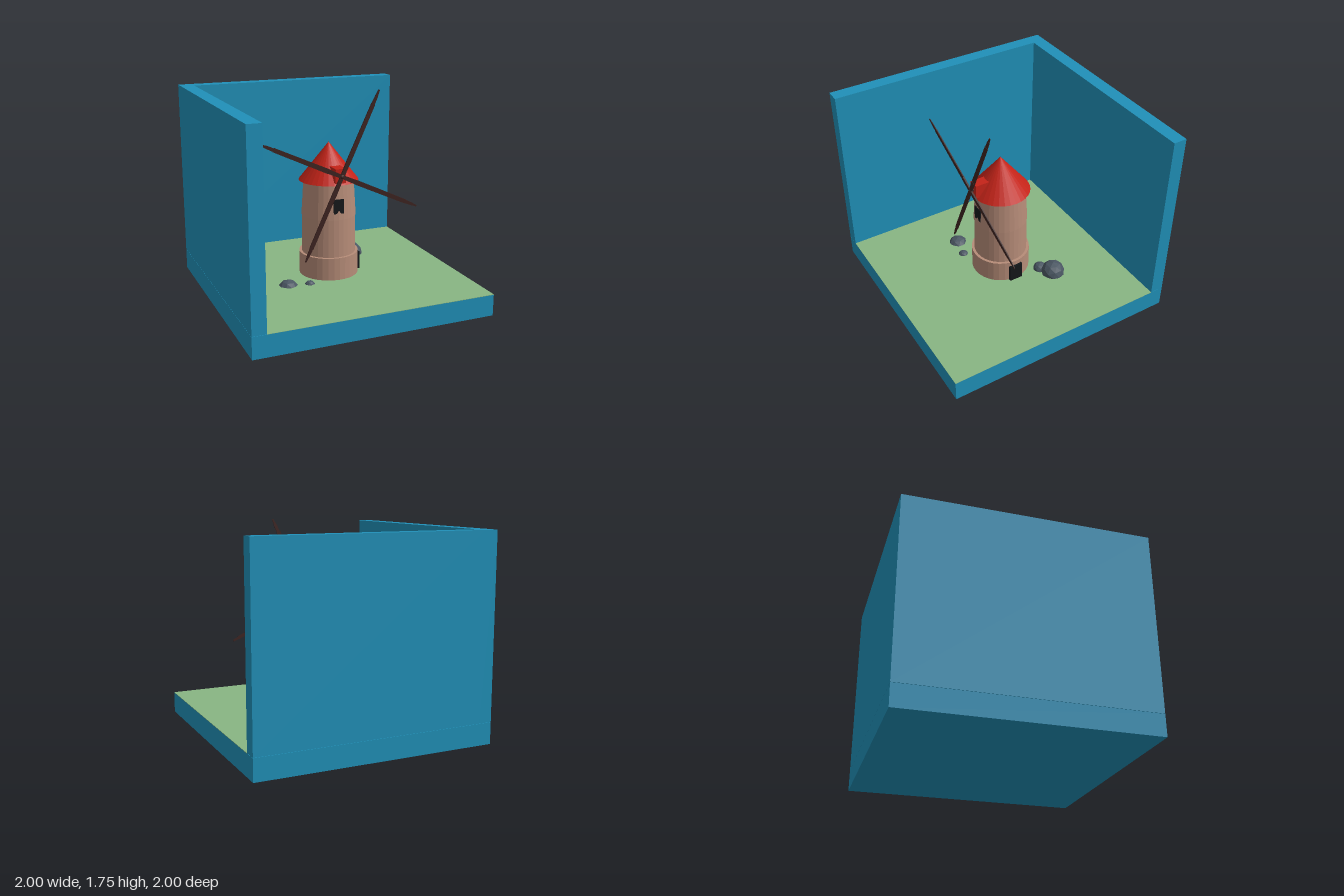
import * as THREE from 'three';

const paint = (color) => new THREE.MeshStandardMaterial({ color, flatShading: true });
const blue = paint(0x2090b8), green = paint(0x88b583), stone = paint(0xb68c78), red = paint(0xc42318);
const rock = paint(0x4a5662), wood = paint(0x3d2320), dark = paint(0x14171a);

function add(parent, name, geometry, material, x = 0, y = 0, z = 0) {
  const mesh = new THREE.Mesh(geometry, material);
  mesh.name = name;
  mesh.position.set(x, y, z);
  parent.add(mesh);
  return mesh;
}
const box = (w, h, d) => new THREE.BoxGeometry(w, h, d);
const drum = (top, bottom, h) => new THREE.CylinderGeometry(top, bottom, h, 32);

// One tapered stretch of a sail, running from radius r0 to r1 along +x
function sailSection(r0, r1, w0, w1, depth) {
  const s = new THREE.Shape();
  s.moveTo(r0, -w0 / 2);
  s.lineTo(r1, -w1 / 2);
  s.lineTo(r1, w1 / 2);
  s.lineTo(r0, w0 / 2);
  s.closePath();
  return new THREE.ExtrudeGeometry(s, { depth, bevelEnabled: false }).translate(0, 0, -depth / 2);
}

export function createModel() {
  const model = new THREE.Group();
  model.name = 'windmillDiorama';

  // Corner room: floor slab, left and back walls, grass
  const floorY = 0.18;
  add(model, 'floorSlab', box(2, floorY - 0.002, 2), blue, 0, (floorY - 0.002) / 2, 0);
  add(model, 'sideWall', box(0.115, 1.51, 2), blue, -0.9425, 0.935, 0);
  add(model, 'backWall', box(1.885, 1.51, 0.115), blue, 0.0575, 0.935, -0.9425);
  add(model, 'grass', box(1.885, 0.004, 1.885), green, 0.0575, floorY - 0.002, 0.0575);

  // Tower in three tiers with a conical roof
  const tower = new THREE.Group();
  tower.name = 'tower';
  model.add(tower);
  add(tower, 'towerBase', drum(0.248, 0.248, 0.19), stone, 0, 0.275, 0);
  add(tower, 'towerMiddle', drum(0.221, 0.225, 0.32), stone, 0, 0.53, 0);
  add(tower, 'towerTop', drum(0.209, 0.227, 0.295), stone, 0, 0.8375, 0);
  add(tower, 'roof', new THREE.ConeGeometry(0.248, 0.315, 32), red, 0, 1.1425, 0);
  add(tower, 'roofDormer', box(0.088, 0.12, 0.2), red, 0, 1.065, 0.155);
  add(tower, 'window', box(0.09, 0.12, 0.06), dark, 0, 0.803, 0.192);
  add(tower, 'door', box(0.06, 0.15, 0.117), dark, 0.233, 0.255, 0);

  // Sails: four stepped arms around a hub on a short axle
  const sails = new THREE.Group();
  sails.name = 'sails';
  sails.position.set(0, 1.067, 0.281);
  sails.rotation.z = THREE.MathUtils.degToRad(65);
  model.add(sails);
  add(sails, 'axle', new THREE.CylinderGeometry(0.012, 0.012, 0.04, 12).rotateX(Math.PI / 2), wood, 0, 0, -0.012);
  add(sails, 'hub', new THREE.SphereGeometry(0.022, 12, 8), wood, 0, 0, -0.005);
  for (let i = 0; i < 4; i++) {
    const arm = new THREE.Group();
    arm.name = 'sailArm';
    arm.rotation.z = (i * Math.PI) / 2;
    add(arm, 'armRoot', sailSection(0, 0.13, 0.03, 0.036, 0.014), wood);
    add(arm, 'armBlade', sailSection(0.13, 0.63, 0.04, 0.034, 0.009), wood);
    add(arm, 'armEnd', sailSection(0.63, 0.7, 0.028, 0.024, 0.007), wood);
    add(arm, 'armTip', sailSection(0.7, 0.748, 0.02, 0.014, 0.005), wood);
    sails.add(arm);
  }

  // Boulders half sunk in the grass: x, y, z, radius
  const boulders = [
    [0.35, 0.183, -0.32, 0.102],
    [0.255, 0.175, -0.25, 0.061],
    [-0.432, 0.135, 0.19, 0.09],
    [-0.26, 0.163, 0.23, 0.045],
  ];
  for (const [x, y, z, r] of boulders) add(model, 'boulder', new THREE.IcosahedronGeometry(r, 1), rock, x, y, z);

  return model;
}
